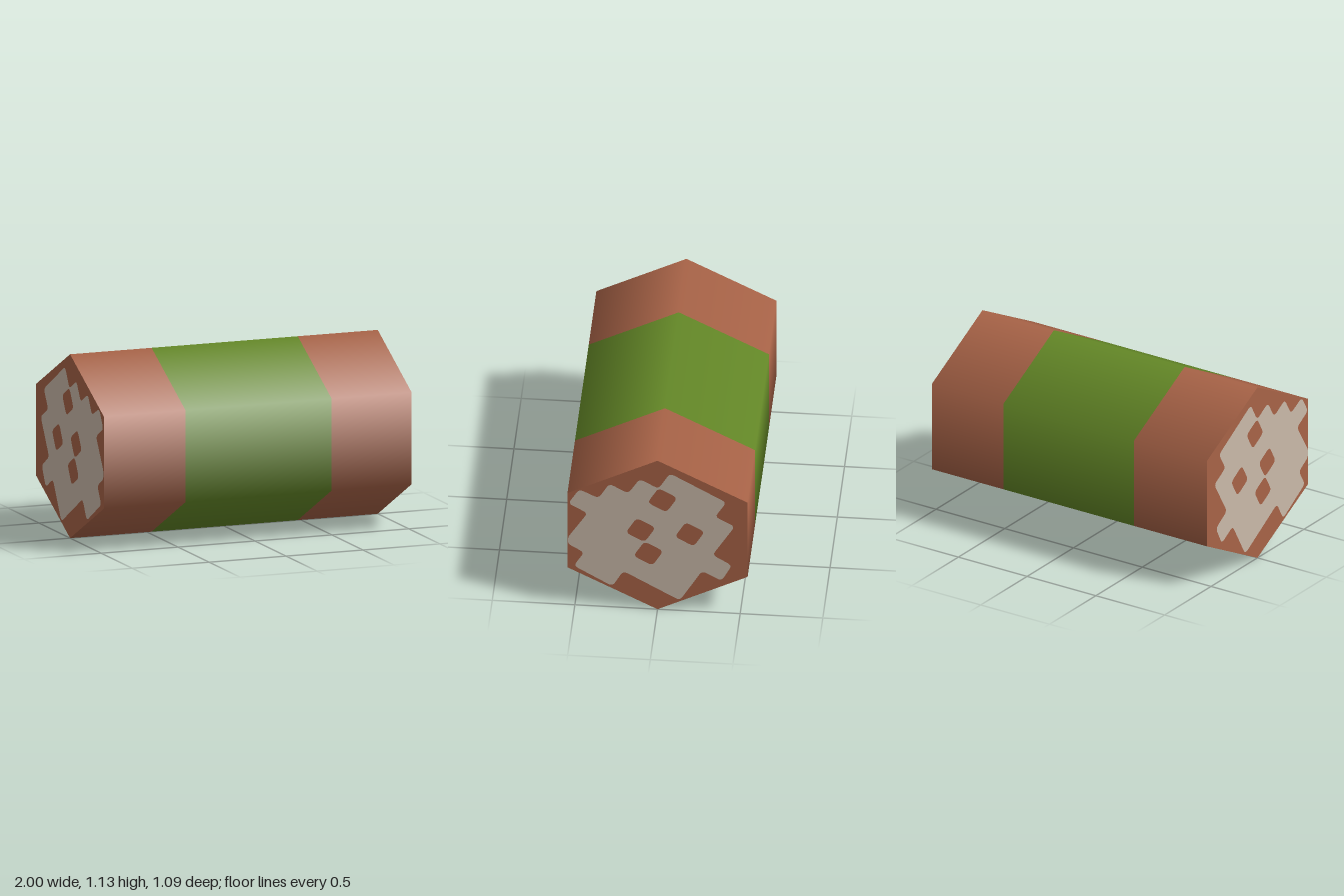
import * as THREE from 'three';

const brown = new THREE.MeshStandardMaterial({ name: 'brown', color: 0xa86347 });
const green = new THREE.MeshStandardMaterial({ name: 'green', color: 0x648827 });
const cream = new THREE.MeshStandardMaterial({ name: 'cream', color: 0xcbbaaa });

const RADIUS = 0.565;
const STRETCH = 0.545 / (RADIUS * Math.cos(Math.PI / 6)); // hexagon is widened in z

// Corners of the cream end patch as [z, y]
const PATCH = [
  [-0.075, 1.04], [-0.417, 0.841], [-0.348, 0.728], [-0.468, 0.662], [-0.333, 0.437],
  [-0.45, 0.365], [-0.387, 0.243], [-0.27, 0.311], [-0.135, 0.078], [0.207, 0.278],
  [0.273, 0.159], [0.507, 0.299], [0.444, 0.404], [0.543, 0.464], [0.543, 0.512],
  [0.423, 0.704], [0.54, 0.77], [0.474, 0.883], [0.357, 0.823], [0.291, 0.937],
  [0.177, 0.871], [0.108, 0.985], [-0.006, 0.919],
];
// Centres of the square holes in the patch as [z, y]
const HOLES = [[-0.03, 0.833], [0.102, 0.597], [-0.195, 0.585], [0.055, 0.422]];

// Closed path through the corners, each one rounded off
function roundedPath(path, corners, cut = 0.03) {
  const pts = corners.map(([x, y]) => new THREE.Vector2(x, y));
  const toward = (a, b) => a.clone().lerp(b, Math.min(0.5, cut / a.distanceTo(b)));
  pts.forEach((p, i) => {
    const before = toward(p, pts[(i + pts.length - 1) % pts.length]);
    const after = toward(p, pts[(i + 1) % pts.length]);
    if (i === 0) path.moveTo(before.x, before.y);
    else path.lineTo(before.x, before.y);
    path.quadraticCurveTo(p.x, p.y, after.x, after.y);
  });
  path.closePath();
  return path;
}

// Square turned to line up with the patch
function squareCorners([z, y], half = 0.066) {
  return [0, 1, 2, 3].map((i) => {
    const a = Math.PI / 6 + Math.PI / 4 + (i * Math.PI) / 2;
    return [z + Math.cos(a) * half * Math.SQRT2, y + Math.sin(a) * half * Math.SQRT2];
  });
}

function addMesh(group, name, geometry, material) {
  const mesh = new THREE.Mesh(geometry, material);
  mesh.name = name;
  group.add(mesh);
}

// Open hexagonal sleeve between two x positions, smooth around the sides
function sleeve(x0, x1) {
  const g = new THREE.CylinderGeometry(RADIUS, RADIUS, x1 - x0, 6, 1, true, Math.PI / 6);
  g.rotateZ(Math.PI / 2);
  g.scale(1, 1, STRETCH);
  return g.translate((x0 + x1) / 2, RADIUS, 0);
}

export function createModel() {
  const model = new THREE.Group();
  model.name = 'hexagonalBar';

  // Long sides with the coloured wrap in the middle
  addMesh(model, 'rightSleeve', sleeve(-1, -0.47), brown);
  addMesh(model, 'wrapBand', sleeve(-0.47, 0.48), green);
  addMesh(model, 'leftSleeve', sleeve(0.48, 1), brown);

  // Flat ends, each with the same patch running straight through the bar
  for (const side of [1, -1]) {
    const end = side > 0 ? 'left' : 'right';
    const cap = new THREE.CircleGeometry(RADIUS, 6, Math.PI / 6);
    cap.scale(STRETCH, 1, 1).rotateY((side * Math.PI) / 2).translate(side, RADIUS, 0);
    addMesh(model, end + 'EndCap', cap, brown);

    const flip = ([z, y]) => [-side * z, y];
    const shape = roundedPath(new THREE.Shape(), PATCH.map(flip));
    for (const hole of HOLES) {
      shape.holes.push(roundedPath(new THREE.Path(), squareCorners(hole).map(flip)));
    }
    const patch = new THREE.ShapeGeometry(shape, 4);
    patch.rotateY((side * Math.PI) / 2).translate(side * 1.002, 0, 0);
    addMesh(model, end + 'EndPatch', patch, cream);
  }
  return model;
}
